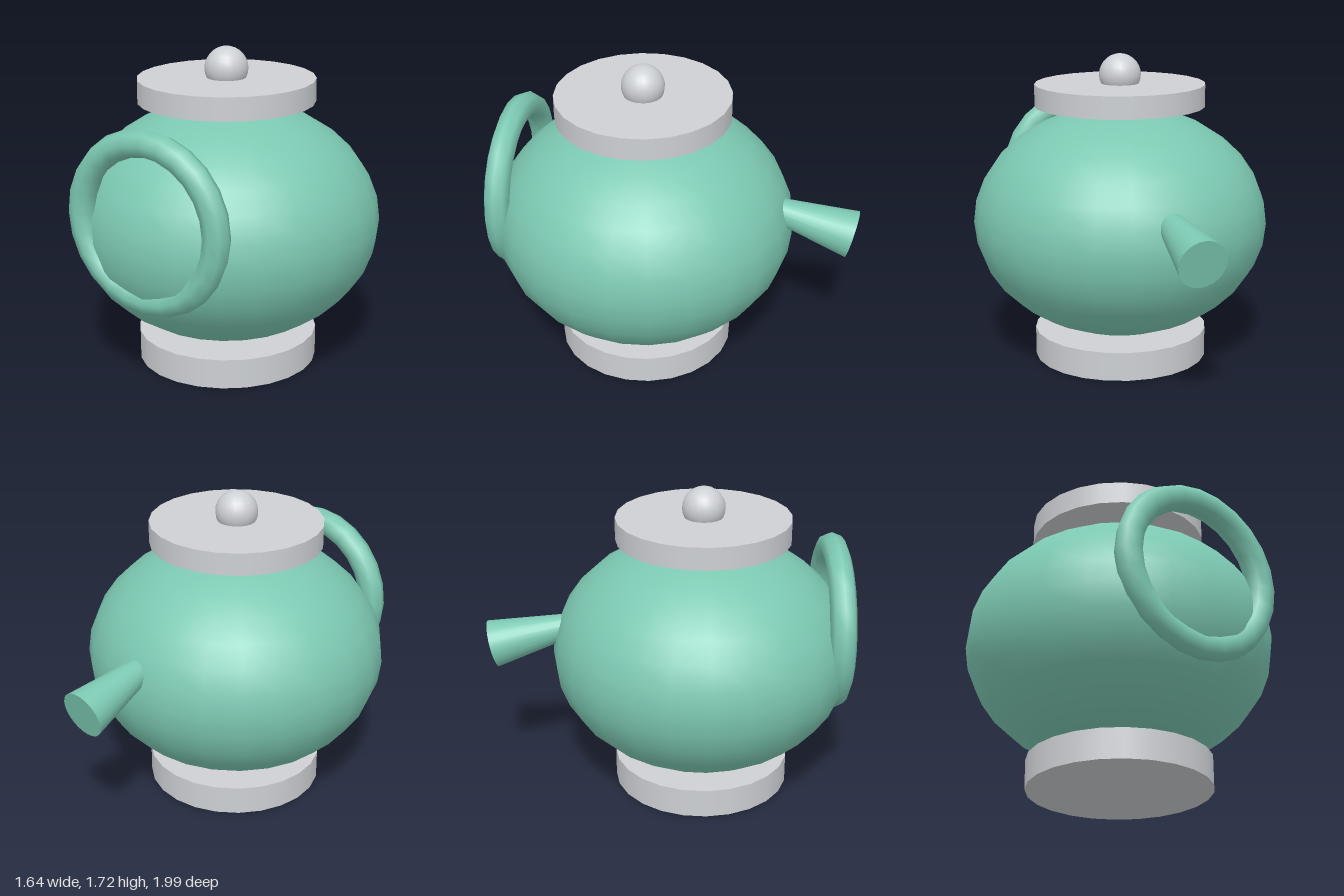
import * as THREE from 'three';

export function createModel() {
  const model = new THREE.Group();
  model.name = 'teapot';

  const glaze = new THREE.MeshStandardMaterial({ color: 0x7cc8b2 });
  glaze.name = 'mint green';
  const metal = new THREE.MeshStandardMaterial({ color: 0xcdd0d4 });
  metal.name = 'light grey';

  const Z = 0.177; // axis of the pot

  function add(name, geometry, material, x, y, z) {
    const mesh = new THREE.Mesh(geometry, material);
    mesh.name = name;
    mesh.position.set(x, y, z);
    model.add(mesh);
    return mesh;
  }

  // Foot, squashed round belly, lid and knob
  add('base', new THREE.CylinderGeometry(0.485, 0.485, 0.16, 24), metal, 0, 0.08, Z);
  add('body', new THREE.SphereGeometry(0.818, 24, 16), glaze, 0, 0.787, Z).scale.y = 0.78;
  add('lid', new THREE.CylinderGeometry(0.47, 0.47, 0.122, 24), metal, 0, 1.491, Z);
  add('knob', new THREE.SphereGeometry(0.115, 20, 14), metal, 0, 1.6, Z);

  // Ring handle on the front
  add('handle', new THREE.TorusGeometry(0.409, 0.071, 8, 24), glaze, 0, 0.944, 0.884);

  // Flared spout at the back, dipping outwards
  const root = new THREE.Vector3(0, 0.947, -0.5);
  const tip = new THREE.Vector3(0, 0.833, -0.967);
  const along = tip.clone().sub(root);
  const middle = root.clone().add(tip).multiplyScalar(0.5);
  const spout = add('spout', new THREE.CylinderGeometry(0.13, 0.058, along.length(), 24),
    glaze, middle.x, middle.y, middle.z);
  spout.quaternion.setFromUnitVectors(new THREE.Vector3(0, 1, 0), along.normalize());

  return model;
}
